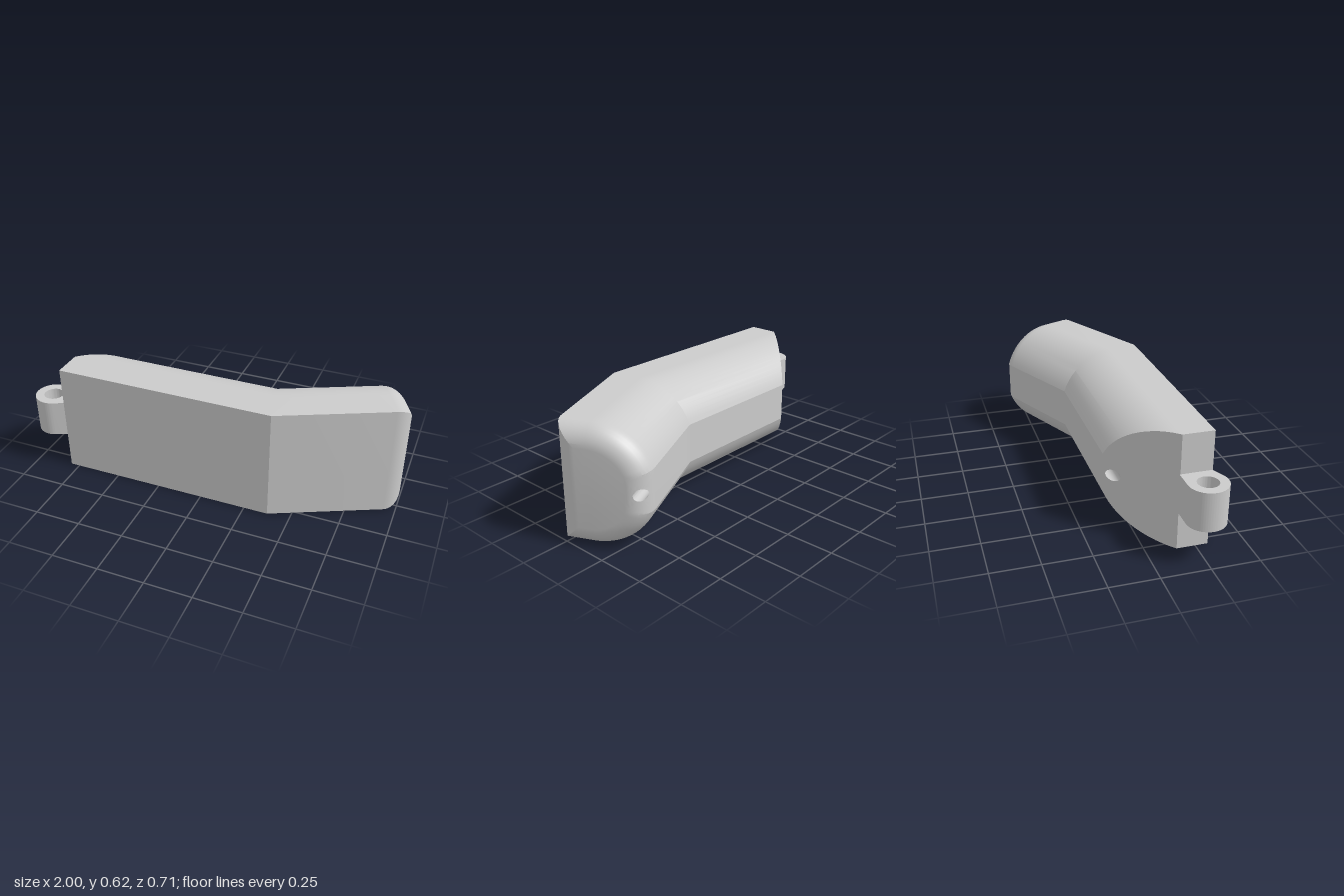
import * as THREE from 'three';
import { toCreasedNormals } from 'three/addons/utils/BufferGeometryUtils.js';

const H = 0.3075;            // half height, also the radius of the rounded back
const T = 0.45, FRONT = 0.315; // thickness and front plane
const FLAT = 0.289;          // distance from arc centre to the flat back strip
const C = T - FLAT;          // depth of the arc centre behind the front plane
const BEND = THREE.MathUtils.degToRad(25);
const BEND_X = 0.38, LEN = 0.722, R = 0.104; // bend, end length, end fillet
const HOLE_T = 0.41, HOLE_R = 0.03;          // cord tunnel
const ARC = 14, FIL = 8;

// Stations map a section point (t = depth from the front, y) into space
const at = (x, y, z) => new THREE.Vector3(x, y + H, z);
const startAt = ([t, y]) => at(-0.8 + Math.max(0, t - C), y, FRONT - t);
const bendAt = ([t, y]) => at(BEND_X - Math.tan(BEND / 2) * t, y, FRONT - t);
const endAt = (s) => ([t, y]) => at(
  BEND_X + s * Math.cos(BEND) - t * Math.sin(BEND), y,
  FRONT - s * Math.sin(BEND) - t * Math.cos(BEND));
const filletS = (a) => LEN - R + R * Math.sin(a);
const inset = (a) => R * (1 - Math.cos(a));
const filletAngle = (t) => Math.acos((R - (T - t)) / R);
const stripHalf = (d) => Math.sqrt((H - d) ** 2 - (FLAT - d) ** 2);

// D-shaped section, inset by d
function section(d) {
  const r = H - d, end = Math.asin((FLAT - d) / r);
  const half = [[d, -r]];
  for (let i = 0; i <= ARC; i++) {
    const p = (end * i) / ARC;
    half.push([C + r * Math.sin(p), -r * Math.cos(p)]);
  }
  return [...half, ...half.slice().reverse().map(([t, y]) => [t, -y])];
}

function circle(n = 32) {
  return Array.from({ length: n }, (_, i) => {
    const a = (i / n) * Math.PI * 2;
    return [HOLE_T + HOLE_R * Math.cos(a), HOLE_R * Math.sin(a)];
  });
}

// Collects triangles and quads, then gives creased normals
class Faces {
  constructor() { this.p = []; }
  tri(...v) { v.forEach((q) => this.p.push(q.x, q.y, q.z)); }
  quad(a, b, c, d) { this.tri(a, b, c); this.tri(a, c, d); }
  band(A, B, skip = -1) {
    const n = A.length;
    for (let i = 0; i < n; i++) {
      const j = (i + 1) % n;
      if (i !== skip) this.quad(A[i], A[j], B[j], B[i]);
    }
  }
  geometry() {
    const g = new THREE.BufferGeometry();
    g.setAttribute('position', new THREE.Float32BufferAttribute(this.p, 3));
    return toCreasedNormals(g, 0.3);
  }
}

function bodyGeometry() {
  const f = new Faces();
  const base = section(0), n = base.length;
  const start = base.map(startAt), bend = base.map(bendAt);
  let ring = base.map(endAt(filletS(0)));
  f.band(start, bend);
  f.band(bend, ring);

  // Rounded end; the middle of the back is left open for the holed patch
  for (let i = 1; i <= FIL; i++) {
    const a = (i / FIL) * Math.PI / 2;
    const next = section(inset(a)).map(endAt(filletS(a)));
    f.band(ring, next, ARC + 1);
    ring = next;
  }
  for (let j = 0; j <= ARC; j++) f.quad(ring[j], ring[j + 1], ring[n - 2 - j], ring[n - 1 - j]);

  // Patch of the end fillet around the tunnel mouth, as [fillet angle, y]
  const rim = [], q = Math.PI / 2, w0 = stripHalf(0), w1 = stripHalf(R);
  for (let side = 0; side < 4; side++) {
    for (let i = 0; i < FIL; i++) {
      const k = i / FIL;
      if (side === 0) rim.push([q * (1 - k), -stripHalf(inset(q * (1 - k)))]);
      if (side === 1) rim.push([0, w0 * (2 * k - 1)]);
      if (side === 2) rim.push([q * k, stripHalf(inset(q * k))]);
      if (side === 3) rim.push([q, w1 * (1 - 2 * k)]);
    }
  }
  const mouth = rim.map(([a, y]) => {
    const th = Math.atan2(y, T - inset(a) - HOLE_T);
    return [filletAngle(HOLE_T + HOLE_R * Math.cos(th)), HOLE_R * Math.sin(th)];
  });
  const M = 6;
  const loops = Array.from({ length: M + 1 }, (_, m) => rim.map((o, i) => {
    const [a, y] = [0, 1].map((c) => mouth[i][c] + (o[c] - mouth[i][c]) * (m / M));
    return endAt(filletS(a))([T - inset(a), y]);
  }));
  for (let m = 0; m < M; m++) f.band(loops[m + 1], loops[m]);

  // Cut end: square strip at the front, slanted face with the tunnel mouth
  f.quad(start[n - 1], start[n - 2], start[1], start[0]);
  const outline = base.slice(1, n - 1).map((p) => new THREE.Vector2(...p));
  const hole = circle().reverse().map((p) => new THREE.Vector2(...p));
  const pts = [...outline, ...hole].map((v) => startAt([v.x, v.y]));
  for (const [a, b, c] of THREE.ShapeUtils.triangulateShape(outline, [hole])) {
    f.tri(pts[a], pts[c], pts[b]);
  }
  return f.geometry();
}

// Cord tunnel, seen from inside
function tunnelGeometry() {
  const f = new Faces();
  const c = circle();
  const rings = [c.map(startAt), c.map(bendAt), c.map((p) => endAt(filletS(filletAngle(p[0])))(p))];
  for (let i = 0; i < 2; i++) f.band(rings[i + 1], rings[i]);
  return f.geometry();
}

// Pierced lug, drawn in plan and extruded upwards
function lugGeometry() {
  const s = new THREE.Shape();
  s.moveTo(-0.79, -0.15);
  s.lineTo(-0.9, -0.15);
  s.absarc(-0.9, -0.25, 0.1, Math.PI / 2, Math.PI * 2 - 1.15, false);
  s.lineTo(-0.79, -0.31);
  s.closePath();
  s.holes.push(new THREE.Path().absarc(-0.9, -0.25, 0.053, 0, Math.PI * 2, true));
  const g = new THREE.ExtrudeGeometry(s, { depth: 0.204, bevelEnabled: false, curveSegments: 32 });
  g.rotateX(-Math.PI / 2).translate(0, 0.206, 0);
  return toCreasedNormals(g, 0.4);
}

export function createModel() {
  const group = new THREE.Group();
  group.name = 'bentHandle';
  const material = new THREE.MeshStandardMaterial({ color: 0xcccccc });
  const add = (name, geometry) => {
    const mesh = new THREE.Mesh(geometry, material);
    mesh.name = name;
    group.add(mesh);
  };
  add('body', bodyGeometry());
  add('cordTunnel', tunnelGeometry());
  add('hingeLug', lugGeometry());
  return group;
}
